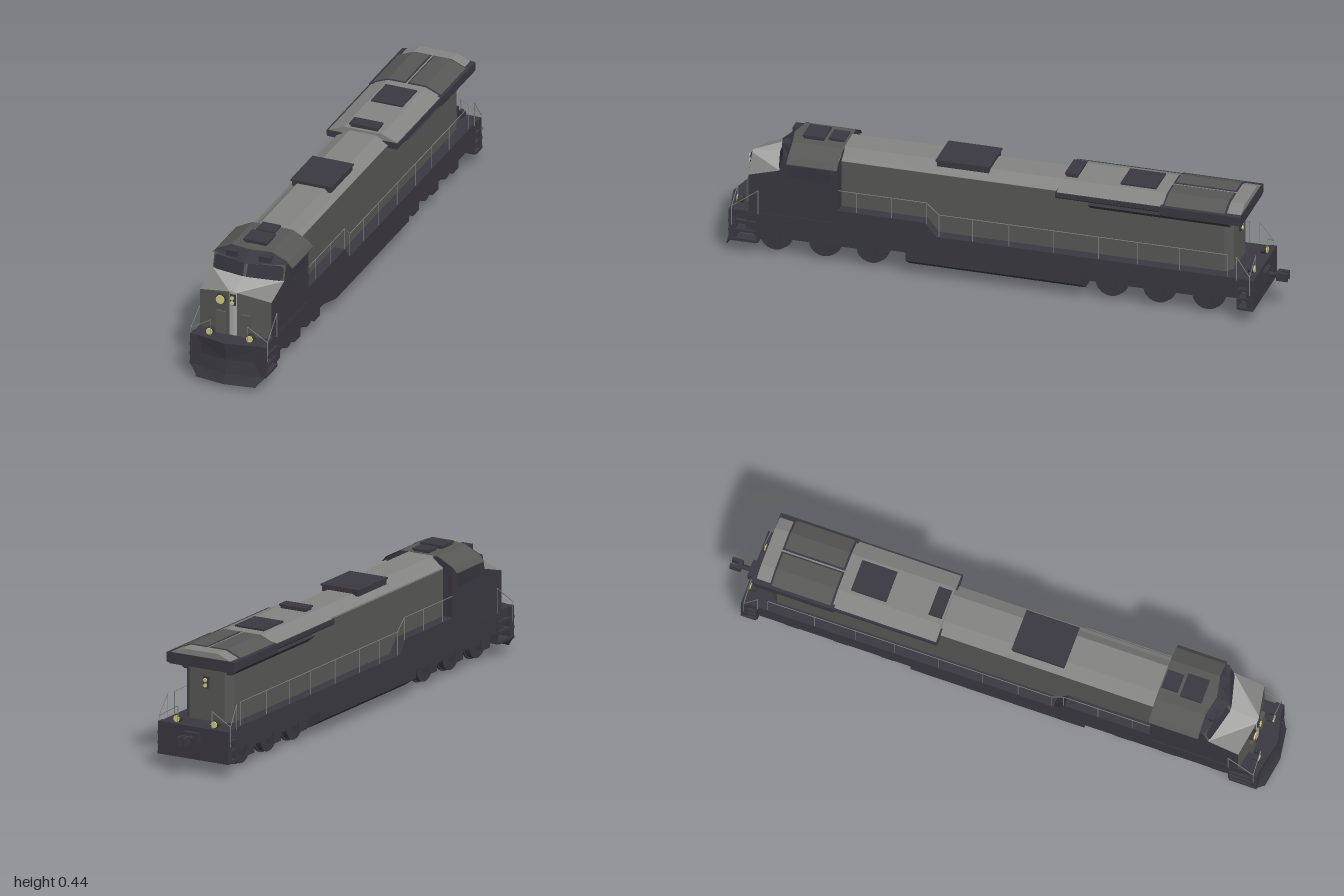
import * as THREE from 'three';

const paint = (name, color) => {
  const m = new THREE.MeshStandardMaterial({ color, side: THREE.DoubleSide });
  m.name = name;
  return m;
};

export function createModel() {
  const root = new THREE.Group();
  root.name = 'locomotive';
  const dark = paint('charcoal', 0x3a3840);
  const mid = paint('hood grey', 0x575755);
  const light = paint('roof grey', 0x848482);
  const pale = paint('pale stripe', 0xa8a8a6);
  const glass = paint('glass', 0x36353f);
  const lamp = paint('lamp yellow', 0xd2ca80);

  const add = (name, geo, mat) => {
    const m = new THREE.Mesh(geo, mat);
    m.name = name;
    root.add(m);
    return m;
  };
  // Box given by its min and max on each axis
  const box = (name, mat, x0, x1, y0, y1, z0, z1) =>
    add(name, new THREE.BoxGeometry(x1 - x0, y1 - y0, z1 - z0)
      .translate((x0 + x1) / 2, (y0 + y1) / 2, (z0 + z1) / 2), mat);
  const boxPair = (name, mat, x0, x1, ...r) => {
    box(name, mat, x0, x1, ...r);
    box(name, mat, -x1, -x0, ...r);
  };
  // Symmetric cross-section (right half, bottom to top) extruded along z
  const prism = (name, mat, half, z0, z1) => {
    const pts = [...half, ...half.map(([x, y]) => [-x, y]).reverse()];
    const shape = new THREE.Shape(pts.map(([x, y]) => new THREE.Vector2(x, y)));
    return add(name, new THREE.ExtrudeGeometry(shape, { depth: z1 - z0, bevelEnabled: false })
      .translate(0, 0, z0), mat);
  };
  // Flat convex polygons, mirrored to both sides
  const panels = (name, mat, ...polys) => {
    const v = [];
    for (const p of polys) {
      for (let i = 1; i < p.length - 1; i++) {
        v.push(...p[0], ...p[i], ...p[i + 1]);
        for (const [x, y, z] of [p[0], p[i + 1], p[i]]) v.push(-x, y, z);
      }
    }
    const g = new THREE.BufferGeometry();
    g.setAttribute('position', new THREE.Float32BufferAttribute(v, 3));
    g.computeVertexNormals();
    return add(name, g, mat);
  };
  const rod = (name, mat, a, b, r = 0.0014, n = 5) => {
    const p = new THREE.Vector3(...a), d = new THREE.Vector3(...b).sub(p);
    const m = add(name, new THREE.CylinderGeometry(r, r, d.length(), n), mat);
    m.position.copy(p).addScaledVector(d, 0.5);
    m.quaternion.setFromUnitVectors(new THREE.Vector3(0, 1, 0), d.normalize());
  };
  const rail = (name, pts) => {
    for (const s of [1, -1]) for (let i = 1; i < pts.length; i++) {
      const [a, b] = [pts[i - 1], pts[i]].map(([x, y, z]) => [s * x, y, z]);
      rod(name, light, a, b);
    }
  };
  // Lamp with a dark rim; dir is +1 facing front, -1 facing rear
  const light3 = (name, x, y, z, r, dir) => {
    rod(name + 'Rim', dark, [x, y, z - dir * 0.015], [x, y, z + dir * 0.004], r, 12);
    rod(name, lamp, [x, y, z], [x, y, z + dir * 0.008], r * 0.85, 12);
  };

  // Frame, raised walkways and fuel tank
  box('sill', dark, -0.135, 0.135, 0.09, 0.166, -0.86, 0.9);
  boxPair('raisedWalkway', dark, 0.09, 0.135, 0.166, 0.214, 0.26, 0.575);
  panels('walkwayRamp', dark, [[0.135, 0.214, 0.26], [0.135, 0.166, 0.22], [0.09, 0.166, 0.22], [0.09, 0.214, 0.26]],
    [[0.135, 0.214, 0.26], [0.135, 0.166, 0.26], [0.135, 0.166, 0.22]]);
  prism('fuelTank', dark, [[0.085, 0.025], [0.133, 0.057], [0.133, 0.095]], -0.3, 0.33);

  // Long hood with chamfered rear corners
  box('hood', mid, -0.095, 0.095, 0.166, 0.385, -0.8, 0.58);
  panels('hoodRear', mid, [[0, 0.166, -0.825], [0, 0.39, -0.825], [0.07, 0.39, -0.825], [0.07, 0.166, -0.825]],
    [[0.07, 0.166, -0.825], [0.07, 0.39, -0.825], [0.095, 0.39, -0.8], [0.095, 0.166, -0.8]]);
  prism('hoodRoof', light, [[0.095, 0.38], [0.095, 0.386], [0.05, 0.412]], -0.25, 0.58);
  prism('frontHoodRoof', light, [[0.09, 0.386], [0.05, 0.42]], 0.24, 0.58);

  // Wide rear roof with dark eaves and radiator grilles
  const roofTop = [[0.133, 0.396], [0.07, 0.422]];
  prism('rearRoof', light, roofTop, -0.865, -0.21);
  prism('eaves', dark, [[0.128, 0.376], [0.134, 0.382], [0.134, 0.398], [0.12, 0.398]], -0.58, -0.205);
  prism('radiatorEaves', dark, [[0.12, 0.362], [0.136, 0.368], [0.136, 0.4], [0.12, 0.402]], -0.868, -0.58);
  prism('radiatorUnderside', dark, [[0.095, 0.338], [0.128, 0.364]], -0.82, -0.32);
  panels('radiatorFrame', dark,
    [[0.003, 0.4235, -0.815], [0.07, 0.4235, -0.815], [0.07, 0.4235, -0.587], [0.003, 0.4235, -0.587]],
    [[0.07, 0.4235, -0.815], [0.131, 0.3985, -0.815], [0.131, 0.3985, -0.587], [0.07, 0.4235, -0.587]]);
  panels('radiatorGrille', mid,
    [[0.009, 0.426, -0.808], [0.07, 0.426, -0.808], [0.07, 0.426, -0.594], [0.009, 0.426, -0.594]],
    [[0.07, 0.426, -0.808], [0.126, 0.403, -0.808], [0.126, 0.403, -0.594], [0.07, 0.426, -0.594]]);

  // Roof hatches
  for (const [w, y, z0, z1] of [[0.054, 0.43, -0.54, -0.42], [0.05, 0.437, -0.26, -0.22],
    [0.073, 0.43, 0.05, 0.235], [0.04, 0.438, 0.65, 0.72], [0.03, 0.436, 0.58, 0.63]]) {
    box('roofHatch', dark, -w, w, 0.405, y - 0.006, z0, z1);
    box('roofHatchLid', dark, -w - 0.004, w + 0.004, y - 0.006, y, z0 - 0.004, z1 + 0.004);
  }

  // Cab and nose
  const W = 0.133;
  panels('cabSide', dark, [[W, 0.166, 0.57], [W, 0.39, 0.57], [W, 0.39, 0.765], [W, 0.337, 0.78],
    [W, 0.305, 0.89], [W, 0.166, 0.89]]);
  panels('cabRearWall', dark, [[0, 0.166, 0.57], [0, 0.42, 0.57], [0.075, 0.42, 0.57], [W, 0.39, 0.57], [W, 0.166, 0.57]]);
  panels('noseFront', mid, [[0.014, 0.166, 0.913], [W, 0.166, 0.89], [W, 0.305, 0.89], [0.014, 0.33, 0.913]]);
  panels('noseStripe', pale, [[0, 0.166, 0.915], [0.014, 0.166, 0.913], [0.014, 0.33, 0.913], [0, 0.333, 0.915]],
    [[0, 0.333, 0.915], [0.014, 0.33, 0.913], [W, 0.337, 0.78], [0, 0.345, 0.815]]);
  panels('noseShoulder', light, [[0.014, 0.33, 0.913], [W, 0.305, 0.89], [W, 0.337, 0.78]]);
  panels('windshieldFrame', mid, [[0, 0.336, 0.816], [W, 0.336, 0.78], [W, 0.392, 0.765], [0, 0.392, 0.797]]);
  panels('windshield', glass, [[0.006, 0.345, 0.8155], [0.012, 0.34, 0.815], [0.12, 0.338, 0.786], [0.128, 0.344, 0.782],
    [0.128, 0.38, 0.772], [0.118, 0.388, 0.772], [0.01, 0.388, 0.799], [0.006, 0.382, 0.802]]);
  panels('sideWindow', glass, [[0.1345, 0.315, 0.6], [0.1345, 0.37, 0.6], [0.1345, 0.37, 0.74], [0.1345, 0.315, 0.75]]);
  boxPair('noseDoor', mid, 0.028, 0.063, 0.166, 0.25, 0.88, 0.918);

  // Cab roof, sloped brow and side visors
  panels('cabRoof', mid, [[0, 0.425, 0.57], [0.075, 0.423, 0.57], [0.075, 0.423, 0.75], [0, 0.425, 0.765]],
    [[0.075, 0.423, 0.57], [W, 0.394, 0.57], [W, 0.394, 0.75], [0.075, 0.423, 0.75]],
    [[W, 0.394, 0.57], [0.15, 0.374, 0.57], [0.15, 0.374, 0.75], [W, 0.394, 0.75]]);
  panels('cabBrow', dark, [[0, 0.391, 0.81], [0.135, 0.391, 0.765], [W, 0.396, 0.75], [0.075, 0.423, 0.75], [0, 0.425, 0.765]],
    [[0, 0.391, 0.81], [0.135, 0.391, 0.765], [0, 0.391, 0.75]]);
  boxPair('browVent', dark, 0.04, 0.082, 0.396, 0.417, 0.74, 0.786);
  panels('visorEdge', dark, [[W, 0.392, 0.57], [0.151, 0.372, 0.57], [0.151, 0.372, 0.75], [W, 0.392, 0.75]]);

  // End platforms, steps and railings
  for (const s of [1, -1]) {
    const zs = (a, b) => (s > 0 ? [a, b] : [-b, -a]);
    const e = s > 0 ? 0.96 : 0.915;
    box('endPlatform', dark, -0.135, 0.135, 0.135, 0.166, ...zs(0.84, e));
    box('pilotBeam', dark, -0.14, 0.14, 0.05, 0.166, ...zs(e - 0.025, e));
    for (let i = 0; i < 3; i++) {
      boxPair('step', dark, 0.1, 0.143, 0.05 + i * 0.035, 0.06 + i * 0.035, ...zs(0.86, e));
    }
    boxPair('stepSide', dark, 0.1, 0.138, 0.05, 0.15, ...zs(0.855, 0.862));
    const r = s * (e - 0.012);
    rail('endRail', [[0.143, 0.11, r], [0.143, 0.182, r], [0.068, 0.227, r], [0.068, 0.166, r]]);
    rail('cornerRail', [[0.138, 0.16, s * 0.855], [0.138, 0.25, s * 0.855], [0.143, 0.182, r]]);
    for (const x of [0.075, -0.075]) light3('ditchLight', x, 0.18, s * (e - 0.02), 0.014, s);
  }
  rod('rearCoupler', dark, [0, 0.13, -0.9], [0, 0.13, -0.975], 0.009, 8);
  box('couplerMount', dark, -0.03, 0.03, 0.112, 0.148, -0.93, -0.91);
  boxPair('couplerJaw', dark, 0.006, 0.018, 0.115, 0.145, -1, -0.965);
  box('couplerHead', dark, -0.018, 0.018, 0.115, 0.145, -0.975, -0.96);

  // Headlights
  light3('noseLamp', -0.045, 0.297, 0.915, 0.019, 1);
  box('headlightHousing', dark, -0.01, 0.01, 0.282, 0.323, 0.9, 0.919);
  box('rearHeadlightHousing', dark, -0.01, 0.01, 0.282, 0.323, -0.832, -0.82);
  for (const y of [0.293, 0.312]) {
    light3('headlight', 0, y, 0.918, 0.0085, 1);
    light3('rearHeadlight', 0, y, -0.83, 0.0085, -1);
  }

  // Snow plow: shallow V, bent blade
  const rows = [[0.14, 0.166, 0.985, 0.955], [0.14, 0.1, 0.976, 0.952], [0.14, 0.05, 0.984, 0.958]];
  const blade = rows.slice(1).map(([w, y, c, k], i) => {
    const [W0, y0, c0, k0] = rows[i];
    return [[0, y, c], [w, y, k], [W0, y0, k0], [0, y0, c0]];
  });
  panels('plowBlade', dark, ...blade,
    [[0, 0.015, 0.995], [0.112, 0.015, 0.978], [0.112, 0.05, 0.964], [0, 0.05, 0.984]],
    [[0.112, 0.02, 0.975], [0.14, 0.05, 0.958], [0.112, 0.05, 0.964]],
    [[0, 0.166, 0.985], [0.14, 0.166, 0.955], [0.14, 0.166, 0.93], [0, 0.166, 0.93]]);
  panels('plowBack', dark, [[0, 0.015, 0.992], [0.112, 0.015, 0.975], [0.112, 0.07, 0.94], [0, 0.07, 0.94]]);

  // Long side handrails
  const side = 0.132;
  rail('sideHandrail', [[side, 0.29, 0.57], [side, 0.29, 0.255], [side, 0.25, 0.21], [side, 0.25, -0.82]]);
  for (const z of [0.505, 0.38, 0.255]) rail('stanchion', [[side, 0.21, z], [side, 0.29, z]]);
  for (const z of [0.21, 0.09, -0.04, -0.2, -0.36, -0.5, -0.65, -0.82]) {
    rail('stanchion', [[side, 0.166, z], [side, 0.25, z]]);
  }

  // Two three-axle trucks
  for (const axles of [[0.81, 0.635, 0.465], [-0.39, -0.56, -0.735]]) {
    const a = axles[2], b = axles[0], lo = Math.min(a, b), hi = Math.max(a, b);
    boxPair('truckFrame', dark, 0.09, 0.112, 0.066, 0.092, lo - 0.07, hi + 0.07);
    box('truckBolster', dark, -0.05, 0.05, 0.07, 0.092, lo, hi);
    for (const z of axles) {
      rod('axle', dark, [-0.118, 0.06, z], [0.118, 0.06, z], 0.014, 10);
      boxPair('axleBox', dark, 0.09, 0.12, 0.042, 0.082, z - 0.025, z + 0.025);
      for (const s of [1, -1]) {
        rod('wheel', dark, [s * 0.064, 0.06, z], [s * 0.086, 0.06, z], 0.054, 20);
        rod('wheelFlange', dark, [s * 0.058, 0.06, z], [s * 0.065, 0.06, z], 0.06, 20);
      }
    }
  }
  return root;
}
